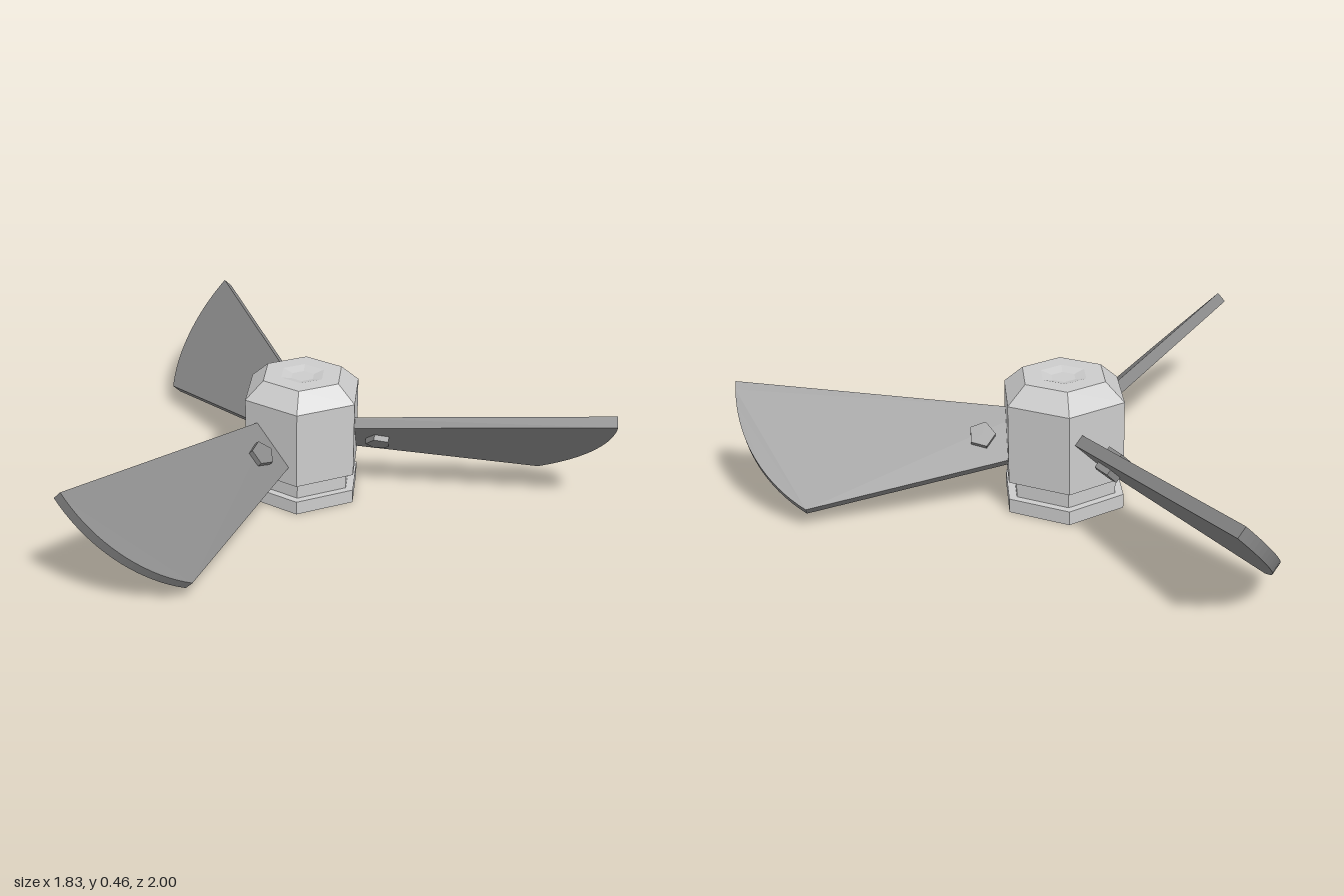
import * as THREE from 'three';

const hubMaterial = new THREE.MeshStandardMaterial({ color: 0xcccccc, flatShading: true });
const bladeMaterial = new THREE.MeshStandardMaterial({ color: 0x888888, flatShading: true });

function part(name, geometry, material) {
  const mesh = new THREE.Mesh(geometry, material);
  mesh.name = name;
  return mesh;
}

// Hexagonal hub: foot, neck, body, chamfered cap, with shallow recesses at both ends
function makeHub() {
  const profile = [
    [0, 0.025], [0.09, 0.025], [0.145, 0], [0.227, 0], [0.227, 0.05], [0.196, 0.05],
    [0.196, 0.113], [0.227, 0.113], [0.227, 0.395], [0.156, 0.458],
    [0.085, 0.458], [0.045, 0.448], [0, 0.448],
  ].map(([r, y]) => new THREE.Vector2(r, y));
  return part('hub', new THREE.LatheGeometry(profile, 6), hubMaterial);
}

// One blade lying in its own plane: x runs outwards, y across the width, z through the thickness
function makeBlade() {
  const blade = new THREE.Group();
  blade.name = 'blade';

  const thickness = 0.042;
  const outline = new THREE.Shape();
  outline.moveTo(0.1, 0.093);
  outline.lineTo(0.1, -0.07);
  outline.lineTo(0.88, -0.238);
  outline.absarc(0.561, 0.2185, 0.557, -0.961, 0.03, false); // rounded tip
  outline.closePath();
  const panel = new THREE.ExtrudeGeometry(outline, {
    depth: thickness, bevelEnabled: false, curveSegments: 9,
  });
  panel.translate(0, 0, -thickness / 2);
  blade.add(part('bladePanel', panel, bladeMaterial));

  // Five-sided bolt through the blade, one corner pointing at the hub
  const bolt = new THREE.CylinderGeometry(0.047, 0.047, 0.084, 5);
  bolt.rotateX(Math.PI / 2);
  bolt.rotateZ(-Math.PI / 2);
  bolt.translate(0.282, 0, 0);
  blade.add(part('bolt', bolt, bladeMaterial));

  // Point the blade along -x and pitch it by 45 degrees
  const s = Math.SQRT1_2;
  blade.applyMatrix4(new THREE.Matrix4().makeBasis(
    new THREE.Vector3(-1, 0, 0),
    new THREE.Vector3(0, s, -s),
    new THREE.Vector3(0, -s, -s),
  ));
  blade.position.y = 0.23;
  return blade;
}

export function createModel() {
  const model = new THREE.Group();
  model.name = 'propeller';

  const rotor = new THREE.Group();
  rotor.name = 'rotor';
  rotor.position.set(0.199, 0, -0.06);
  rotor.add(makeHub());

  // Three blades around the hub
  for (let i = 0; i < 3; i++) {
    const arm = new THREE.Group();
    arm.name = 'bladeArm';
    arm.rotation.y = (i * Math.PI * 2) / 3;
    arm.add(makeBlade());
    rotor.add(arm);
  }

  model.add(rotor);
  return model;
}
